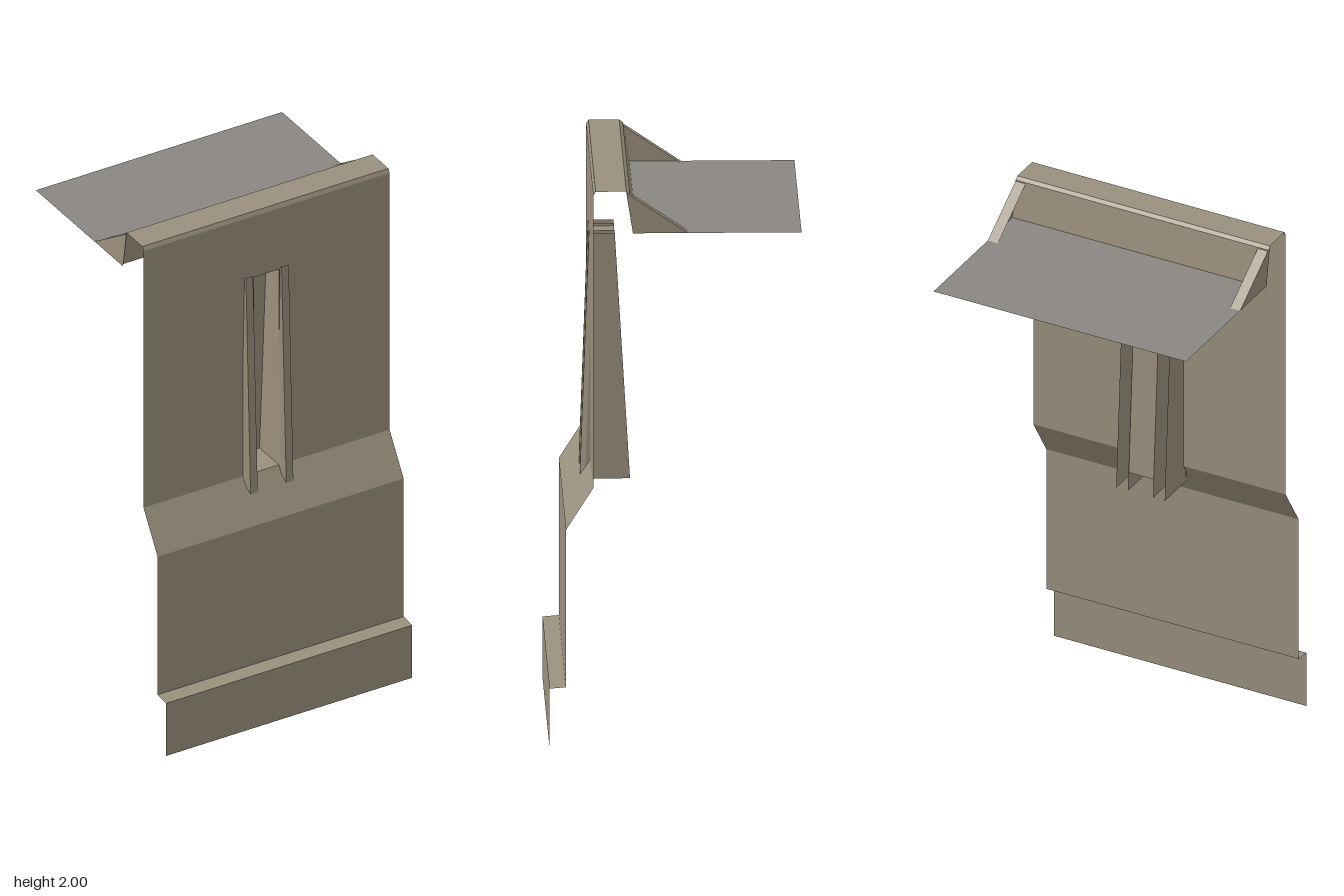
import * as THREE from 'three';

const tan = new THREE.MeshStandardMaterial({ color: 0x9a907d, side: THREE.DoubleSide });
tan.name = 'warm grey metal';
const grey = new THREE.MeshStandardMaterial({ color: 0x8a8682, side: THREE.DoubleSide });
grey.name = 'grey plate';

// Flat-shaded sheet through two matching rows of [x, y, z] points
function sheet(name, rowA, rowB, material = tan) {
  const p = [];
  for (let i = 0; i < rowA.length - 1; i++) {
    const a = rowA[i], b = rowA[i + 1], c = rowB[i], d = rowB[i + 1];
    p.push(...a, ...b, ...c, ...c, ...b, ...d);
  }
  const g = new THREE.BufferGeometry();
  g.setAttribute('position', new THREE.Float32BufferAttribute(p, 3));
  g.computeVertexNormals();
  const mesh = new THREE.Mesh(g, material);
  mesh.name = name;
  return mesh;
}

// Folded strip running across x from a [z, y] profile
function fold(name, profile, halfWidth, material) {
  const row = x => profile.map(([z, y]) => [x, y, z]);
  return sheet(name, row(halfWidth), row(-halfWidth), material);
}

export function createModel() {
  const model = new THREE.Group();

  // Upper panel with the recess opening
  const W = 0.5, H = 0.05, Z = 0.285;
  const panel = new THREE.Shape([[-W, 0.935], [-H, 0.935], [-H, 1.735], [H, 1.735],
    [H, 0.935], [W, 0.935], [W, 1.985], [-W, 1.985]].map(p => new THREE.Vector2(...p)));
  const upper = new THREE.Mesh(new THREE.ShapeGeometry(panel), tan);
  upper.position.z = Z;
  upper.name = 'upperPanel';
  model.add(upper);

  // Bent lower skirt, top flange and rear shelf
  model.add(fold('lowerPanel', [[Z, 0.935], [0.38, 0.785], [0.38, 0.22], [0.437, 0.215], [0.437, 0]], W));
  model.add(fold('topFlange', [[Z, 1.985], [0.277, 2], [0.17, 2], [0.157, 1.99], [0.134, 1.85]], W));
  model.add(fold('shelf', [[0.134, 1.85], [-0.44, 1.85]], W, grey));

  // Recess between the ribs
  model.add(fold('recess', [[Z, 0.935], [0.155, 0.935], [0.2, 1.735], [Z, 1.735]], H));

  for (const s of [1, -1]) {
    // Tapered channel rib, open at the back
    const section = (y, front, back) => [[0.05, back], [0.05, front - 0.018], [0.058, front],
      [0.087, front], [0.096, front - 0.018], [0.096, back]].map(([x, z]) => [s * x, y, z]);
    const rib = sheet('rib', section(0.865, 0.322, 0.147), section(1.745, 0.29, 0.2));
    model.add(rib);

    // Triangular gusset with a flange along its sloping edge
    const gusset = new THREE.Group();
    gusset.name = 'gusset';
    const top = [s * W, 1.995, 0.17], foot = [s * W, 1.85, -0.045], heel = [s * W, 1.85, 0.147];
    gusset.add(sheet('gussetWeb', [top, foot], [heel, heel]));
    gusset.add(sheet('gussetFlange', [top, foot],
      [top, foot].map(([, y, z]) => [s * 0.46, y, z])));
    model.add(gusset);
  }
  return model;
}
